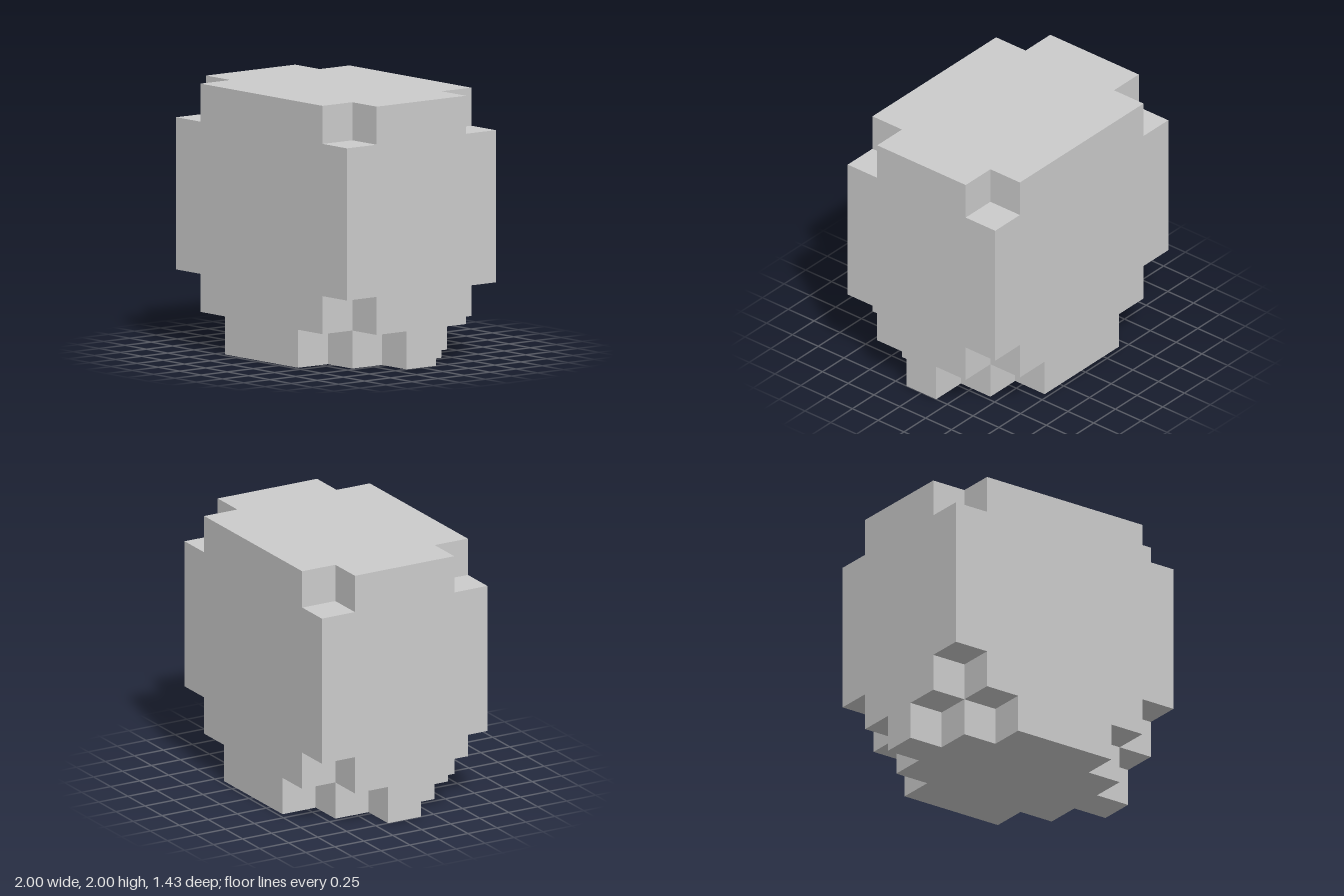
import * as THREE from 'three';
import { mergeGeometries } from 'three/addons/utils/BufferGeometryUtils.js';

// Block grid: 7 wide, 7 high, 5 deep
const NX = 7, NY = 7, NZ = 5, U = 2 / 7;

// A block is solid unless it lies in one of the stepped corner notches
function solid(x, y, z) {
  if (x < 0 || y < 0 || z < 0 || x >= NX || y >= NY || z >= NZ) return false;
  const fromCorner = Math.min(x, NX - 1 - x) + Math.min(z, NZ - 1 - z);
  if (y === 0) return fromCorner > 1;                // bottom: L-shaped notches
  if (y === 1 || y === NY - 1) return fromCorner > 0; // single-block notches
  return true;
}

// One outward-facing square for each of the six directions
function faceTemplates() {
  const h = Math.PI / 2;
  return [
    [[0, 0, 1], 0, 0], [[0, 0, -1], 0, 2 * h],
    [[1, 0, 0], 0, h], [[-1, 0, 0], 0, -h],
    [[0, 1, 0], -h, 0], [[0, -1, 0], h, 0],
  ].map(([dir, rx, ry]) => {
    const geometry = new THREE.PlaneGeometry(U, U).rotateX(rx).rotateY(ry);
    geometry.translate(dir[0] * U / 2, dir[1] * U / 2, dir[2] * U / 2);
    return { dir, geometry };
  });
}

export function createModel() {
  const group = new THREE.Group();
  group.name = 'notchedBlock';

  // Keep only the faces that border empty space
  const templates = faceTemplates();
  const faces = [];
  for (let x = 0; x < NX; x++)
    for (let y = 0; y < NY; y++)
      for (let z = 0; z < NZ; z++) {
        if (!solid(x, y, z)) continue;
        for (const { dir, geometry } of templates) {
          if (solid(x + dir[0], y + dir[1], z + dir[2])) continue;
          faces.push(geometry.clone().translate(
            (x + 0.5 - NX / 2) * U, (y + 0.5) * U, (z + 0.5 - NZ / 2) * U));
        }
      }

  const body = new THREE.Mesh(
    mergeGeometries(faces),
    new THREE.MeshStandardMaterial({ color: 0xcccccc, flatShading: true }));
  body.name = 'body';
  group.add(body);
  return group;
}
